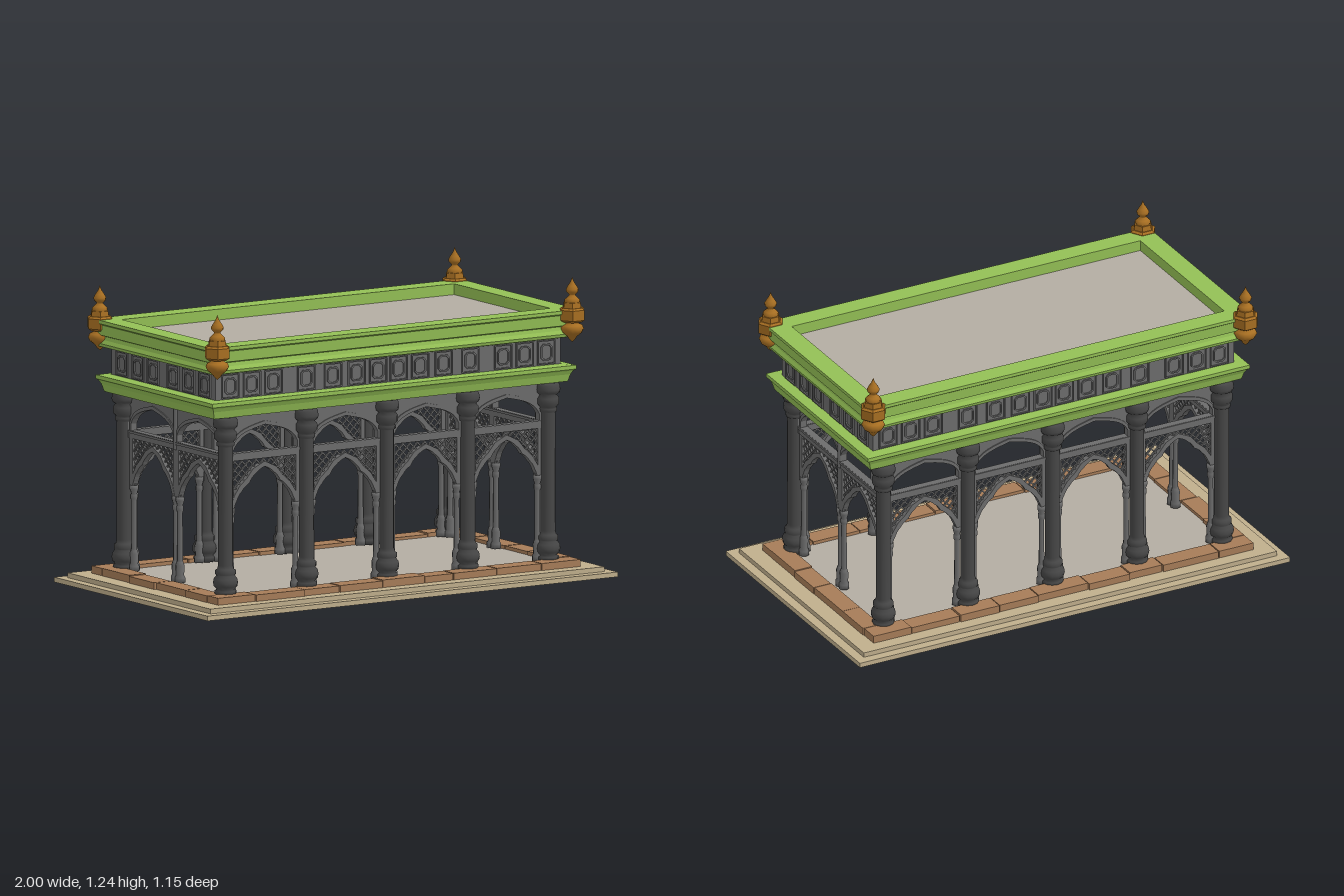
import * as THREE from 'three';
import { mergeGeometries } from 'three/addons/utils/BufferGeometryUtils.js';

const mat = (name, color, extra = {}) => Object.assign(new THREE.MeshStandardMaterial({ color, ...extra }), { name });
const M = {
  sand: mat('sandstone', 0xbfae8c),
  brick: mat('brick', 0xa67c58),
  slab: mat('pale slab', 0xb3aca2),
  dark: mat('dark iron', 0x474747),
  grey: mat('grey iron', 0x6c6c6c),
  green: mat('green stone', 0x93bf55),
  gold: mat('bronze', 0xa86f22),
};
const v2 = (pts) => pts.map(([x, y]) => new THREE.Vector2(x, y));

function add(parent, name, geo, material, x = 0, y = 0, z = 0) {
  const m = new THREE.Mesh(geo, material);
  m.name = name;
  m.position.set(x, y, z);
  parent.add(m);
  return m;
}
const box = (w, h, d, x = 0, y = 0, z = 0) => new THREE.BoxGeometry(w, h, d).translate(x, y, z);
const lathe = (pts, sides) => new THREE.LatheGeometry(v2(pts), sides);
const extrude = (shape, depth, curveSegments = 8) =>
  new THREE.ExtrudeGeometry(shape, { depth, bevelEnabled: false, curveSegments }).translate(0, 0, -depth / 2);

// Mitred rectangular moulding: profile of [half depth, y], half width is 0.45 more
function moulding(profile) {
  const pos = [];
  const corner = ([d, y], k) => {
    const [sx, sz] = [[-1, 1], [1, 1], [1, -1], [-1, -1]][k % 4];
    return [sx * (d + 0.45), y, sz * d];
  };
  for (let k = 0; k < 4; k++) {
    profile.forEach((p, i) => {
      const q = profile[(i + 1) % profile.length];
      const a = corner(p, k), b = corner(p, k + 1), c = corner(q, k + 1), d = corner(q, k);
      pos.push(...a, ...b, ...c, ...a, ...c, ...d);
    });
  }
  const g = new THREE.BufferGeometry();
  g.setAttribute('position', new THREE.Float32BufferAttribute(pos, 3));
  g.computeVertexNormals();
  return g;
}

// Pointed arch outline with a flat sill
function archPath(Type, w, sill, spring, apex) {
  const s = new Type();
  s.moveTo(-w, sill);
  s.lineTo(w, sill);
  s.lineTo(w, spring);
  s.bezierCurveTo(w * 0.85, spring + (apex - spring) * 0.7, w * 0.4, apex - 0.015, 0, apex);
  s.bezierCurveTo(-w * 0.4, apex - 0.015, -w * 0.85, spring + (apex - spring) * 0.7, -w, spring);
  s.closePath();
  return s;
}

// Cusps of the lobed arch, from apex to springing
const CUSPS = [[0, 0.575], [0.045, 0.548], [0.075, 0.512], [0.112, 0.48], [0.138, 0.44], [0.152, 0.4]];
function lobeHeight(x) {
  for (let i = 1; i < CUSPS.length; i++) {
    const [x0, y0] = CUSPS[i - 1], [x1, y1] = CUSPS[i];
    if (x <= x1) return y0 + ((y1 - y0) * (x - x0)) / (x1 - x0);
  }
  return 0.4;
}
function lobedBand() {
  const s = new THREE.Shape();
  s.moveTo(...CUSPS[0]);
  for (let i = 1; i < CUSPS.length; i++) {
    const [x0, y0] = CUSPS[i - 1], [x1, y1] = CUSPS[i];
    s.quadraticCurveTo(x0 * 0.35 + x1 * 0.65, y0 * 0.65 + y1 * 0.35, x1, y1);
  }
  [...CUSPS].reverse().forEach(([x, y]) => s.lineTo(x ? x + 0.012 : 0, y + 0.022));
  s.closePath();
  const right = extrude(s, 0.026, 4);
  return [right, right.clone().rotateY(Math.PI)];
}

// Diagonal bars clipped to the area above the lobed arch
function lattice() {
  const bars = [], step = 0.003;
  const inside = (x, y) => Math.abs(x) < 0.16 && y < 0.605 && y > lobeHeight(Math.abs(x)) + 0.008;
  for (const dir of [1, -1]) {
    for (let c = -0.42; c <= 0.42; c += 0.035) {
      let start = null;
      for (let y = 0.4; y <= 0.612; y += step) {
        const x = c + dir * (y - 0.5), hit = inside(x, y);
        if (hit && start === null) start = y;
        if (!hit && start !== null) {
          const mid = (start + y) / 2;
          bars.push(box((y - start) * Math.SQRT2, 0.006, 0.008).rotateZ((dir * Math.PI) / 4)
            .translate(c + dir * (mid - 0.5), mid, dir * 0.002));
          start = null;
        }
      }
    }
  }
  return mergeGeometries(bars);
}

const COLONNETTE = [[0, 0.06], [0.022, 0.06], [0.022, 0.08], [0.017, 0.09], [0.019, 0.13], [0.014, 0.145], [0.012, 0.15],
  [0.011, 0.35], [0.015, 0.36], [0.015, 0.375], [0.012, 0.38], [0.018, 0.4], [0.018, 0.415], [0, 0.415]];
const COLUMN = [[0, 0.06], [0.045, 0.06], [0.045, 0.08], [0.036, 0.085], [0.048, 0.098], [0.051, 0.113], [0.048, 0.13], [0.038, 0.143],
  [0.042, 0.148], [0.042, 0.165], [0.034, 0.17], [0.03, 0.185], [0.03, 0.675], [0.037, 0.68], [0.037, 0.692], [0.034, 0.697],
  [0.046, 0.71], [0.046, 0.735], [0.036, 0.748], [0.048, 0.757], [0.051, 0.77], [0.048, 0.79], [0.042, 0.8], [0, 0.8]];

// One arcade bay, centred on x = 0
function makeBay(halfWidth) {
  const panel = new THREE.Shape(v2([[-halfWidth, 0.635], [halfWidth, 0.635], [halfWidth, 0.81], [-halfWidth, 0.81]]));
  panel.holes.push(archPath(THREE.Path, 0.158, 0.642, 0.67, 0.75));
  const rim = archPath(THREE.Shape, 0.168, 0.636, 0.676, 0.765);
  rim.holes.push(archPath(THREE.Path, 0.158, 0.642, 0.67, 0.75));
  const w = halfWidth * 2;
  const frame = [box(w, 0.03, 0.03, 0, 0.625, 0), box(w, 0.01, 0.038, 0, 0.636, 0)];
  for (const s of [-1, 1]) frame.push(box(0.02, 0.215, 0.024, s * 0.162, 0.505, 0));
  const post = lathe(COLONNETTE, 8);
  return {
    archPanel: extrude(panel, 0.02),
    archRim: extrude(rim, 0.03),
    screenFrame: mergeGeometries(frame),
    lobedArch: mergeGeometries(lobedBand()),
    lattice: lattice(),
    colonnettes: mergeGeometries([-1, 1].map((s) => post.clone().translate(s * 0.157, 0, 0))),
  };
}

function chamferedRing(w, h, cut, t) {
  const pts = (a, b, c) => v2([[-a + c, -b], [a - c, -b], [a, -b + c], [a, b - c], [a - c, b], [-a + c, b], [-a, b - c], [-a, -b + c]]);
  const s = new THREE.Shape(pts(w, h, cut));
  s.holes.push(new THREE.Path(pts(w - t, h - t, cut * 0.8)));
  return extrude(s, 0.012);
}

export function createModel() {
  const root = new THREE.Group();
  root.name = 'pavilion';

  // Stepped base and floor
  add(root, 'lowerStep', box(2, 0.02, 1.15, 0, 0.01, 0), M.sand);
  add(root, 'upperStep', box(1.92, 0.02, 1.07, 0, 0.03, 0), M.sand);
  add(root, 'floor', box(1.64, 0.02, 0.82, 0, 0.045, 0), M.slab);

  // Uneven brick border
  let seed = 7;
  const rnd = () => (seed = (seed * 16807) % 2147483647) / 2147483647;
  const bricks = [];
  const course = (len, n, place) => {
    const cuts = [0];
    for (let i = 1; i < n; i++) cuts.push((i + (rnd() - 0.5) * 0.35) / n);
    cuts.push(1);
    for (let i = 0; i < n; i++) {
      const l = (cuts[i + 1] - cuts[i]) * len - 0.004, h = 0.026 + rnd() * 0.006;
      bricks.push(place(l, h, ((cuts[i] + cuts[i + 1]) / 2 - 0.5) * len, (rnd() - 0.5) * 0.012));
    }
  };
  for (const s of [-1, 1]) {
    course(1.77, 9, (l, h, c, j) => box(l, h, 0.08, c, 0.04 + h / 2, s * (0.435 + j)));
    course(0.79, 4, (l, h, c, j) => box(0.08, h, l, s * (0.845 + j), 0.04 + h / 2, c));
  }
  add(root, 'brickBorder', mergeGeometries(bricks), M.brick);

  // Columns along both long sides
  const columnGeo = lathe(COLUMN, 12);
  for (const z of [-0.38, 0.38])
    for (let i = -2; i <= 2; i++) add(root, 'column', columnGeo, M.dark, i * 0.393, 0, z);

  // Arcade bays on all four sides
  const longBay = makeBay(0.1965), endBay = makeBay(0.172);
  const placeBay = (parts, x, z, turn) => {
    const g = new THREE.Group();
    g.name = 'arcadeBay';
    for (const [name, geo] of Object.entries(parts)) add(g, name, geo, M.grey);
    g.position.set(x, 0, z);
    g.rotation.y = turn;
    root.add(g);
  };
  for (const s of [-1, 1]) {
    for (const i of [-1.5, -0.5, 0.5, 1.5]) placeBay(longBay, i * 0.393, s * 0.36, s > 0 ? 0 : Math.PI);
    for (const z of [-0.172, 0.172]) placeBay(endBay, s * 0.77, z, (s * Math.PI) / 2);
    add(root, 'endMullion', new THREE.CylinderGeometry(0.012, 0.012, 0.2, 8), M.grey, s * 0.78, 0.71, 0);
  }

  // Cornices, frieze and roof
  add(root, 'lowerCornice', moulding([[0.35, 0.8], [0.412, 0.8], [0.416, 0.815], [0.42, 0.83], [0.428, 0.845],
    [0.437, 0.852], [0.437, 0.868], [0.39, 0.872], [0.35, 0.872]]), M.green);
  add(root, 'frieze', moulding([[0.34, 0.86], [0.39, 0.86], [0.39, 0.99], [0.34, 0.99]]), M.grey);
  add(root, 'upperCornice', moulding([[0.36, 0.98], [0.4, 0.98], [0.428, 0.987], [0.432, 1.0], [0.422, 1.015], [0.418, 1.03],
    [0.434, 1.036], [0.437, 1.08], [0.446, 1.086], [0.446, 1.1], [0.36, 1.1]]), M.green);
  add(root, 'roof', box(1.63, 0.22, 0.73, 0, 0.945, 0), M.slab);

  // Frieze medallions in square surrounds
  const medallion = mergeGeometries([chamferedRing(0.028, 0.034, 0.012, 0.006), chamferedRing(0.043, 0.05, 0.001, 0.005)]);
  const longSpots = [0.05, 0.155, 0.27, 0.4, 0.56, 0.665, 0.77], endSpots = [0.075, 0.19, 0.31];
  for (const s of [-1, 1])
    for (const m of [-1, 1]) {
      for (const x of longSpots) add(root, 'medallion', medallion, M.grey, m * x, 0.926, s * 0.39);
      for (const z of endSpots) add(root, 'medallion', medallion, M.grey, s * 0.84, 0.926, m * z).rotation.y = Math.PI / 2;
    }

  // Corner finials: bulb, hexagonal drum and pointed cap
  const bulb = lathe([[0, 0.967], [0.012, 0.978], [0.02, 0.99], [0.04, 1.006], [0.048, 1.022], [0.042, 1.037], [0.022, 1.047], [0.022, 1.06]], 12);
  const drum = mergeGeometries([
    new THREE.CylinderGeometry(0.056, 0.056, 0.042, 6).translate(0, 1.081, 0),
    new THREE.CylinderGeometry(0.046, 0.056, 0.008, 6).translate(0, 1.106, 0),
    new THREE.CylinderGeometry(0.056, 0.04, 0.01, 6).translate(0, 1.055, 0),
    new THREE.CylinderGeometry(0.038, 0.042, 0.024, 6).translate(0, 1.12, 0)]).toNonIndexed();
  drum.computeVertexNormals();
  const cap = lathe([[0.03, 1.13], [0.032, 1.142], [0.024, 1.15], [0.014, 1.16], [0.014, 1.165], [0.024, 1.175],
    [0.026, 1.186], [0.018, 1.2], [0.008, 1.215], [0, 1.236]], 12);
  for (const x of [-0.865, 0.865])
    for (const z of [-0.44, 0.44]) {
      const g = new THREE.Group();
      g.name = 'cornerFinial';
      add(g, 'finialBulb', bulb, M.gold);
      add(g, 'finialDrum', drum, M.gold).rotation.y = Math.PI / 6;
      add(g, 'finialCap', cap, M.gold);
      g.position.set(x, 0, z);
      root.add(g);
    }
  return root;
}
